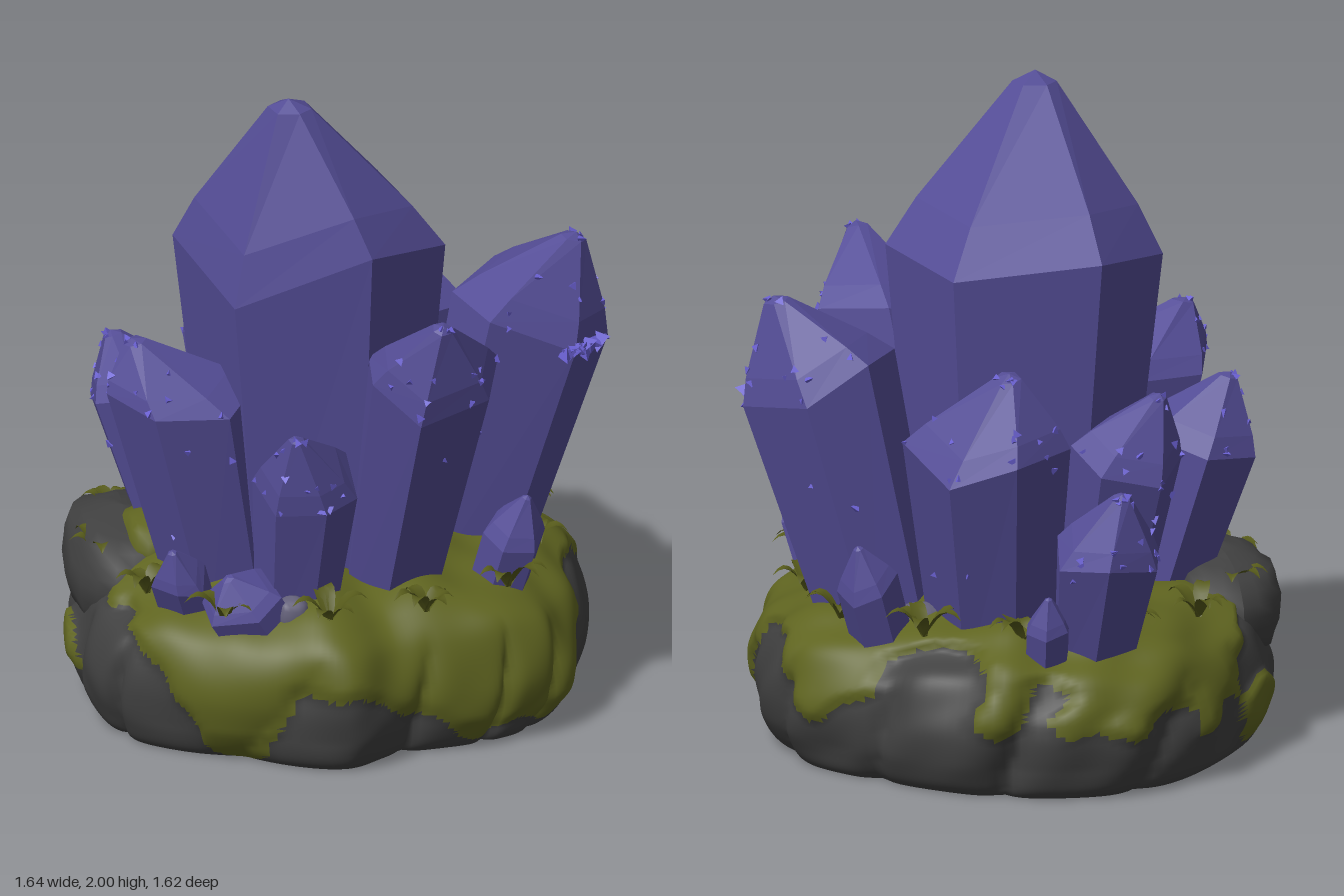
import * as THREE from 'three';

const mat = (name, color, side = THREE.FrontSide) => {
  const m = new THREE.MeshStandardMaterial({ color, side });
  m.name = name;
  return m;
};
const V = (x, y, z) => new THREE.Vector3(x, y, z);

let seed = 7;
const rnd = () => (seed = (seed * 16807) % 2147483647) / 2147483647;

// Smooth lumpy noise, about -1..1
const noise = (x, y, z) =>
  (Math.sin(5.1 * x + 2.3 * z + 1) + Math.sin(6.3 * z - 3.7 * y + 2 * Math.sin(4 * x)) +
    Math.sin(9 * x - 8 * z + 6 * y + 0.5) * 0.6 + Math.sin(13 * y + 11 * z + 7 * x) * 0.4) / 2.6;
const blob = (p, x, y, z, r) => Math.exp(-((p.x - x) ** 2 + (p.y - y) ** 2 + (p.z - z) ** 2) / (r * r));

// Above zero is moss, below zero is bare rock
const mossiness = (p) =>
  (p.y - 0.2) * 5 + 0.6 * noise(p.x * 2.2, p.y * 2, p.z * 2.2) + 0.3 * noise(p.z * 4, p.x * 4, p.y * 4)
  - 2.2 * blob(p, -0.45, 0.38, 0.6, 0.2) - 2 * blob(p, -0.7, 0.36, 0.28, 0.17)
  - 1.7 * blob(p, -0.1, 0.28, 0.78, 0.14) - 2 * blob(p, -0.22, 0.38, -0.76, 0.17)
  - 1.3 * blob(p, 0.5, 0.25, -0.68, 0.2) + 1.5 * blob(p, -0.45, 0.22, 0.64, 0.1)
  + 0.9 * blob(p, 0.75, 0.12, -0.08, 0.22) + 1.2 * blob(p, 0.33, 0.1, 0.68, 0.14)
  + 1.2 * blob(p, -0.75, 0.15, 0.15, 0.14);

// Ground mound: a closed outline swept through a side profile
function moundGeometry() {
  const outline = new THREE.CatmullRomCurve3([
    [0.78, -0.05], [0.66, 0.25], [0.64, 0.46], [0.25, 0.71], [-0.05, 0.81], [-0.35, 0.68],
    [-0.6, 0.48], [-0.75, 0.2], [-0.79, -0.38], [-0.48, -0.71],
    [0.05, -0.81], [0.35, -0.77], [0.62, -0.54], [0.79, -0.25],
  ].map(([x, z]) => V(x, 0, z)), true);
  const profile = new THREE.CatmullRomCurve3([
    [0, 0], [0.5, 0], [0.91, 0], [0.97, 0.07], [1, 0.2], [0.94, 0.34],
    [0.83, 0.41], [0.68, 0.46], [0.4, 0.5], [0, 0.5],
  ].map(([r, y]) => V(r, y, 0)));
  const rows = 90, cols = 240, pos = [], mask = [], rock = [], moss = [];
  for (let i = 0; i <= rows; i++) {
    const s = profile.getPoint(i / rows);
    for (let j = 0; j < cols; j++) {
      const o = outline.getPoint(j / cols);
      const p = V(o.x * s.x, Math.max(0, s.y), o.z * s.x);
      const m = i < rows * 0.22 ? -1 : mossiness(p);
      const side = Math.min(1, p.y / 0.1) * Math.min(1, s.x * 2);
      const lump = 0.025 * noise(p.x * 2.1, p.y * 2, p.z * 2.1) * side;
      const cushion = 0.022 * THREE.MathUtils.smoothstep(m, -0.1, 0.25) * side;
      // Creases that break the rock rim into separate stones
      const angle = j / cols * Math.PI * 2;
      const crease = -0.05 * (1 - Math.abs(Math.sin(angle * 5.5 + 2 * p.y + Math.sin(angle * 3)))) ** 3
        * THREE.MathUtils.smoothstep(s.x, 0.6, 0.9) * THREE.MathUtils.smoothstep(-p.y, -0.4, -0.2);
      const k = 0.988 + lump + cushion + crease;
      pos.push(p.x * k, p.y > 0.02 ? p.y * (1 + 2 * (lump + cushion)) : p.y, p.z * k);
      mask.push(m);
    }
  }
  for (let i = 0; i < rows; i++) for (let j = 0; j < cols; j++) {
    const a = i * cols + j, b = i * cols + (j + 1) % cols, c = a + cols, d = b + cols;
    for (const t of [[a, c, b], [b, c, d]])
      (mask[t[0]] + mask[t[1]] + mask[t[2]] > 0 ? moss : rock).push(...t);
  }
  const g = new THREE.BufferGeometry();
  g.setAttribute('position', new THREE.Float32BufferAttribute(pos, 3));
  g.setIndex([...rock, ...moss]);
  g.addGroup(0, rock.length, 0);
  g.addGroup(rock.length, moss.length, 1);
  g.computeVertexNormals();
  return g;
}

// Six-sided crystal that widens to uneven shoulders and closes in a blunt point
function crystalGeometry(base, shoulder, tip, r0, r1, turn) {
  const n = 6, axis = shoulder.clone().sub(base).normalize();
  const u = V(1, 0, 0).addScaledVector(axis, -axis.x).normalize();
  const w = u.clone().cross(axis);
  const jitter = [...Array(n)].map(() => [rnd() - 0.5, rnd() - 0.5]);
  const ring = (c, r, lift) => jitter.map(([dr, dl], k) => {
    const a = turn + (k + dr * 0.25) / n * Math.PI * 2, q = r * (1 + dr * 0.12);
    return c.clone().addScaledVector(u, Math.cos(a) * q)
      .addScaledVector(w, Math.sin(a) * q).addScaledVector(axis, dl * lift);
  });
  const rings = [ring(base, r0, 0), ring(shoulder, r1, r1 * 0.55),
    ring(shoulder.clone().lerp(tip, 0.27), r1 * 0.8, r1 * 0.4),
    ring(shoulder.clone().lerp(tip, 0.94), r1 * 0.16, 0)];
  const pts = [];
  for (let k = 0; k < n; k++) {
    const l = (k + 1) % n;
    for (let i = 0; i < 3; i++) {
      const [a, b, c, d] = [rings[i][k], rings[i][l], rings[i + 1][k], rings[i + 1][l]];
      pts.push(a, c, b, b, c, d);
    }
    pts.push(rings[3][k], tip, rings[3][l]);
  }
  const g = new THREE.BufferGeometry().setFromPoints(pts);
  g.computeVertexNormals();
  return g;
}

// Broad pointed leaf that arches outward and droops
function leafGeometry(length, width) {
  const g = new THREE.PlaneGeometry(width, 1, 2, 6), p = g.attributes.position;
  for (let i = 0; i < p.count; i++) {
    const t = p.getY(i) + 0.5, x = p.getX(i) * Math.sin(Math.PI * (0.12 + 0.88 * t));
    p.setXYZ(i, x, length * 0.7 * Math.sin(t * 2.3) + Math.abs(x) * 0.3, length * t);
  }
  g.computeVertexNormals();
  return g;
}

// Lumpy stone
function stoneGeometry() {
  const g = new THREE.SphereGeometry(1, 20, 14), p = g.attributes.position;
  for (let i = 0; i < p.count; i++) {
    const v = V().fromBufferAttribute(p, i);
    const flatTop = 1 / Math.max(Math.abs(v.x), Math.abs(v.y), Math.abs(v.z));
    v.multiplyScalar(1 + 0.3 * (flatTop - 1) + 0.06 * noise(v.x, v.y, v.z));
    p.setXYZ(i, v.x, v.y, v.z);
  }
  g.computeVertexNormals();
  return g;
}

export function createModel() {
  const model = new THREE.Group();
  const rock = mat('dark rock', 0x404040), moss = mat('moss', 0x5f6420);
  const crystal = mat('violet crystal', 0x544d96), shard = mat('bright violet', 0x6a60d2);
  const dusty = mat('dusty lilac', 0x625f78);
  const leaf = mat('leaf green', 0x565a1a, THREE.DoubleSide);
  const add = (name, geometry, material, parent = model) => {
    const m = new THREE.Mesh(geometry, material);
    m.name = name;
    parent.add(m);
    return m;
  };

  add('mossyMound', moundGeometry(), [rock, moss]);

  // Stones: boulder at the front left with moss on its crest, and dusty pebbles
  for (const [name, material, at, size] of [
    ['boulder', rock, [-0.41, 0.39, 0.42], [0.3, 0.17, 0.18]],
    ['mossCrest', moss, [-0.28, 0.49, 0.42], [0.15, 0.1, 0.1]],
    ['pebble', dusty, [0.37, 0.45, 0.44], [0.05, 0.06, 0.05]],
    ['pebble', dusty, [-0.01, 0.47, -0.5], [0.06, 0.04, 0.07]],
  ]) {
    const stone = add(name, stoneGeometry(), material);
    stone.position.set(...at);
    stone.scale.set(...size);
    stone.rotation.y = -0.62;
  }

  // Large crystals: base x and z, shoulder centre, tip, shoulder radius
  const large = [
    ['mainCrystal', 0.05, 0.06, [0.05, 1.46, 0.08], [0.11, 2, 0.22], 0.41],
    ['rightCrystal', 0.3, 0, [0.59, 1.2, 0.08], [0.74, 1.43, 0.16], 0.21],
    ['backRightCrystal', 0.2, -0.4, [0.36, 1.17, -0.54], [0.46, 1.43, -0.64], 0.24],
    ['backLeftCrystal', -0.14, -0.34, [-0.24, 1.05, -0.51], [-0.33, 1.29, -0.51], 0.25],
    ['farLeftCrystal', -0.48, -0.3, [-0.62, 0.76, -0.4], [-0.69, 0.95, -0.42], 0.17],
    ['leftCrystal', -0.32, -0.05, [-0.49, 0.97, -0.12], [-0.58, 1.17, -0.08], 0.17],
    ['frontLeftCrystal', -0.28, 0.24, [-0.41, 0.92, 0.34], [-0.49, 1.11, 0.4], 0.19],
    ['frontCrystal', -0.05, 0.33, [-0.09, 1.07, 0.49], [-0.17, 1.24, 0.61], 0.23],
    ['frontRightCrystal', 0.25, 0.33, [0.37, 0.87, 0.39], [0.45, 1.07, 0.5], 0.16],
  ].map(([name, x, z, shoulder, tip, r], i) =>
    add(name, crystalGeometry(V(x, 0.32, z), V(...shoulder), V(...tip), r * 0.72, r, 0.35 + i * 0.4), crystal));

  // Small crystals: base x and z, tip, radius
  [
    ['smallRightCrystal', 0.5, -0.24, [0.67, 0.74, -0.25], 0.095],
    ['smallBackCrystal', 0.07, -0.56, [0.07, 0.73, -0.74], 0.1],
    ['smallFrontCrystal', 0.02, 0.5, [0.09, 0.64, 0.68], 0.09],
    ['stubbyFrontCrystal', 0.27, 0.4, [0.25, 0.58, 0.6], 0.125],
    ['smallBackLeftCrystal', -0.43, -0.46, [-0.5, 0.62, -0.54], 0.07],
  ].forEach(([name, x, z, end, r], i) => {
    const base = V(x, 0.27, z), tip = V(...end);
    add(name, crystalGeometry(base, base.clone().lerp(tip, 0.7), tip, r * 0.95, r, i * 0.5), crystal);
  });

  // Tiny bright splinters clinging to the outward faces of the large crystals
  const splinters = new THREE.Group();
  splinters.name = 'splinters';
  model.add(splinters);
  const splinter = (at, size) => {
    const s = add('splinter', new THREE.TetrahedronGeometry(size), shard, splinters);
    s.position.copy(at);
    s.rotation.set(rnd() * 6, rnd() * 6, rnd() * 6);
  };
  for (const { geometry } of large.slice(1)) {
    const p = geometry.attributes.position, nrm = geometry.attributes.normal;
    for (let i = 0; i < p.count; i += 3) {
      if (nrm.getX(i) * p.getX(i) + nrm.getZ(i) * p.getZ(i) < 0.2) continue;
      const a = rnd(), b = rnd() * (1 - a), at = V(0, 0, 0);
      [a, b, 1 - a - b].forEach((f, k) => at.addScaledVector(V().fromBufferAttribute(p, i + k), f));
      if (at.y > 0.6) splinter(at, 0.011 + rnd() * 0.008);
    }
  }
  for (let i = 0; i < 12; i++) splinter(V(0.57, 1.1 + 0.03 * (rnd() - 0.5), -0.64 + i * 0.013), 0.03);

  // Leaf tufts in a ring around the foot of the crystals
  for (let k = 0; k < 13; k++) {
    const a = k / 13 * Math.PI * 2 + 0.2, r = 0.62 + rnd() * 0.06;
    const tuft = new THREE.Group();
    tuft.name = 'leafTuft';
    tuft.position.set(Math.cos(a) * r, 0.45, Math.sin(a) * r);
    model.add(tuft);
    for (let i = 0; i < 6; i++)
      add('leaf', leafGeometry(0.08 + rnd() * 0.05, 0.05), leaf, tuft).rotation.y = i * 1.05 + rnd();
  }
  return model;
}
